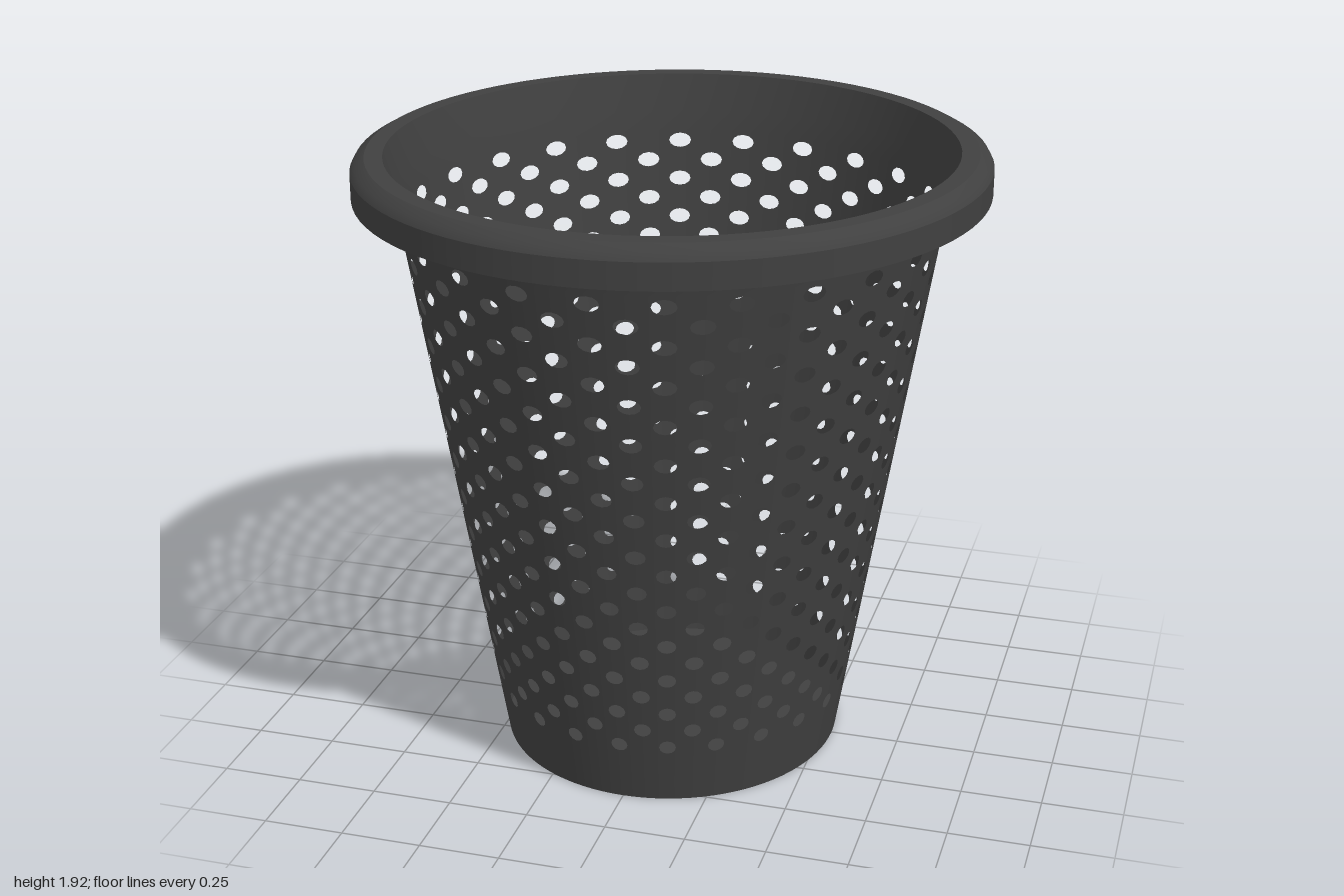
import * as THREE from 'three';
import { mergeGeometries } from 'three/addons/utils/BufferGeometryUtils.js';

const COLUMNS = 48, ROWS = 25;            // checkerboard of holed and solid cells
const STEP = (Math.PI * 2) / COLUMNS;
const ROW = 0.0627, FIRST_ROW = 0.2;
const LOW = FIRST_ROW - ROW / 2, HIGH = LOW + ROWS * ROW;
const SLOPE = 0.164;
const radius = (y) => 0.535 + SLOPE * y;

const material = new THREE.MeshStandardMaterial({ color: 0x404040, side: THREE.DoubleSide });

function lathe(name, points) {
  const profile = points.map(([r, y]) => new THREE.Vector2(r, y));
  const mesh = new THREE.Mesh(new THREE.LatheGeometry(profile, COLUMNS * 2, -STEP / 2), material);
  mesh.name = name;
  return mesh;
}

// One wall cell, flat in (angle, height), with an optional oval hole
function cell(angle, y, holed) {
  const a = STEP / 2, h = ROW / 2;
  const shape = new THREE.Shape();
  shape.moveTo(angle - a, y - h);
  shape.lineTo(angle, y - h);
  shape.lineTo(angle + a, y - h);
  shape.lineTo(angle + a, y + h);
  shape.lineTo(angle, y + h);
  shape.lineTo(angle - a, y + h);
  shape.closePath();
  if (holed) {
    const hole = new THREE.Path();
    hole.absellipse(angle, y, 0.045, 0.0235, 0, Math.PI * 2, true);
    shape.holes.push(hole);
  }
  return new THREE.ShapeGeometry(shape, 6);
}

// Perforated wall: flat cells wrapped round the cone
function perforatedWall() {
  const cells = [];
  for (let j = 0; j < ROWS; j++) {
    for (let i = 0; i < COLUMNS; i++) {
      cells.push(cell(i * STEP, FIRST_ROW + j * ROW, (i + j) % 2 === 0));
    }
  }
  const geometry = mergeGeometries(cells);
  const pos = geometry.attributes.position, normal = geometry.attributes.normal;
  const n = new THREE.Vector3();
  for (let k = 0; k < pos.count; k++) {
    const angle = pos.getX(k), y = pos.getY(k), r = radius(y);
    pos.setXYZ(k, r * Math.sin(angle), y, r * Math.cos(angle));
    n.set(Math.sin(angle), -SLOPE, Math.cos(angle)).normalize();
    normal.setXYZ(k, n.x, n.y, n.z);
  }
  const mesh = new THREE.Mesh(geometry, material);
  mesh.name = 'perforatedWall';
  return mesh;
}

export function createModel() {
  const basket = new THREE.Group();
  basket.name = 'wasteBasket';

  // Wall
  basket.add(lathe('lowerWall', [[radius(0), 0], [radius(LOW), LOW]]));
  basket.add(perforatedWall());
  basket.add(lathe('upperWall', [[radius(HIGH), HIGH], [radius(1.8), 1.8], [0.858, 1.92]]));

  // Floor
  const floor = new THREE.Mesh(new THREE.CylinderGeometry(0.534, 0.532, 0.015, COLUMNS * 2), material);
  floor.position.y = 0.0085;
  floor.name = 'floor';
  basket.add(floor);

  // Rim: flat top, bevelled shoulder and hanging lip, open underneath
  const rim = new THREE.Group();
  rim.name = 'rim';
  rim.add(lathe('rimLip', [[0.955, 1.8], [0.955, 1.88]]));
  rim.add(lathe('rimShoulder', [[0.955, 1.88], [0.942, 1.903], [0.912, 1.92]]));
  rim.add(lathe('rimTop', [[0.912, 1.92], [0.858, 1.92]]));
  basket.add(rim);

  // Slightly oval plan, longer from front to back
  basket.scale.z = 1.047;
  const model = new THREE.Group();
  model.add(basket);
  return model;
}
